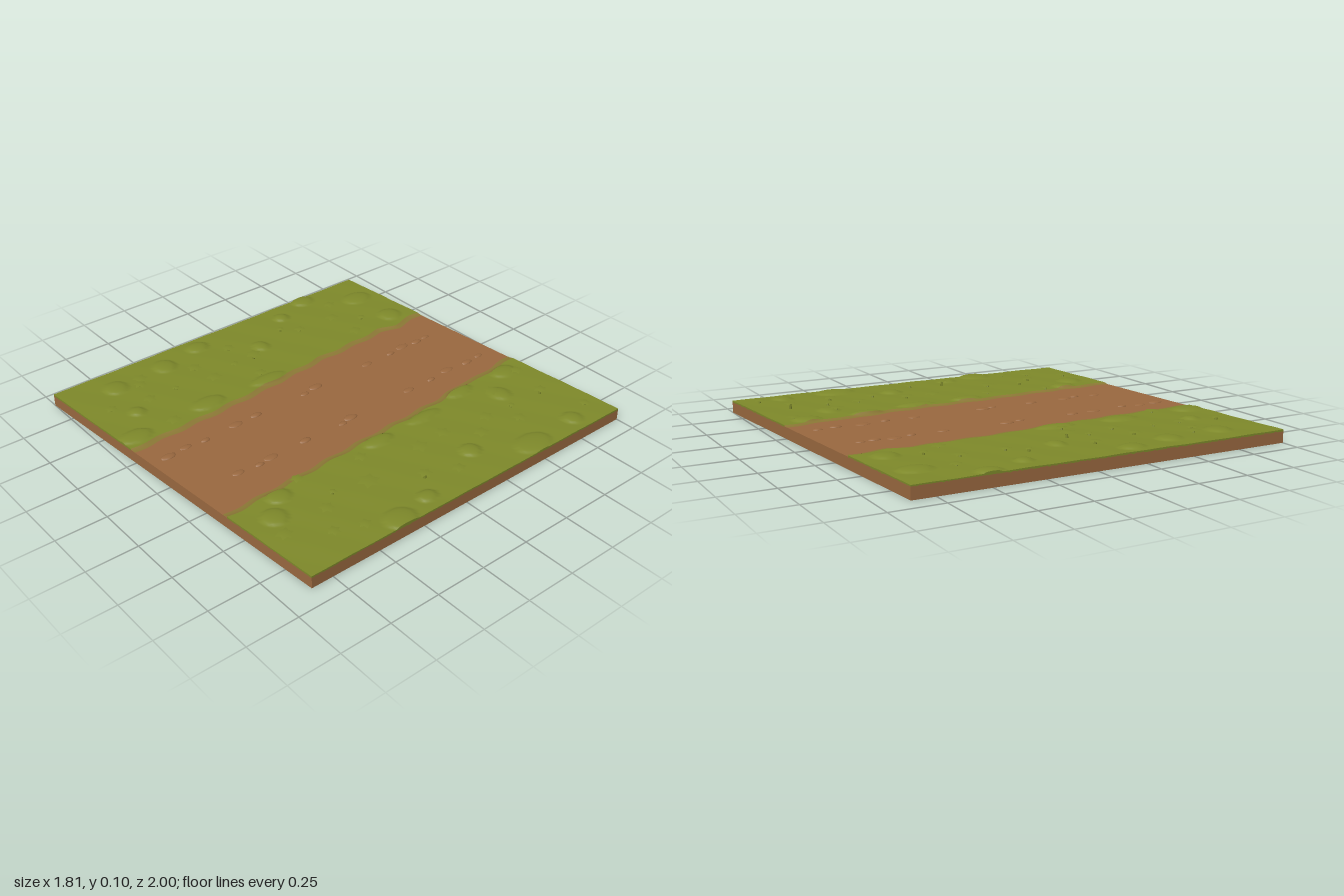
import * as THREE from 'three';

const HALF_X = 0.905, HALF_T = 0.93, SHEAR = 0.0773, SOIL_TOP = 0.056;

const material = (name, color, side = THREE.FrontSide) => {
  const m = new THREE.MeshStandardMaterial({ color, side });
  m.name = name;
  return m;
};

// Grid surface from a rule (u, v) -> [x, y, z]; u runs along +x, v along +z
function gridSurface(rule, nu, nv) {
  const pos = [], idx = [], w = nu + 1;
  for (let j = 0; j <= nv; j++)
    for (let i = 0; i <= nu; i++) pos.push(...rule(i / nu, j / nv));
  for (let j = 0; j < nv; j++)
    for (let i = 0; i < nu; i++) {
      const a = j * w + i, b = a + 1, c = a + w, d = c + 1;
      idx.push(a, c, b, b, c, d);
    }
  const g = new THREE.BufferGeometry();
  g.setAttribute('position', new THREE.Float32BufferAttribute(pos, 3));
  g.setIndex(idx);
  g.computeVertexNormals();
  return g;
}

// Edges of the dirt track as [z, x], sampled linearly
const EDGES = {
  '-1': [[-1, -0.36], [-0.85, -0.35], [-0.72, -0.33], [-0.62, -0.35], [-0.4, -0.335], [-0.2, -0.33], [0, -0.31], [0.2, -0.29], [0.5, -0.27], [1, -0.25]],
  '1': [[-1, 0.23], [-0.85, 0.25], [-0.7, 0.27], [-0.6, 0.265], [-0.4, 0.295], [-0.1, 0.31], [0.2, 0.325], [0.5, 0.345], [1, 0.37]],
};
function edgeX(side, z) {
  const p = EDGES[side];
  let i = 0;
  while (i < p.length - 2 && z > p[i + 1][0]) i++;
  const f = (z - p[i][0]) / (p[i + 1][0] - p[i][0]);
  return THREE.MathUtils.lerp(p[i][1], p[i + 1][1], f) + 0.006 * Math.sin(z * 31 + side);
}

// Low grass mounds: x, z, radius x, radius z
const MOUNDS = {
  '-1': [[-0.71, -0.75, 0.06, 0.08], [-0.46, -0.77, 0.06, 0.06], [-0.87, -0.5, 0.05, 0.06], [-0.8, -0.3, 0.04, 0.04],
    [-0.36, 0.12, 0.04, 0.1], [-0.37, 0.47, 0.05, 0.09], [-0.35, 0.88, 0.055, 0.08], [-0.78, 0.45, 0.06, 0.06],
    [-0.63, -0.04, 0.05, 0.04], [-0.83, 0.22, 0.05, 0.06], [-0.52, 0.77, 0.04, 0.04], [-0.76, 0.74, 0.06, 0.06]],
  '1': [[0.82, -0.77, 0.05, 0.05], [0.84, -0.48, 0.07, 0.1], [0.32, -0.52, 0.04, 0.08], [0.37, -0.24, 0.035, 0.1],
    [0.46, -0.66, 0.06, 0.05], [0.86, 0.35, 0.07, 0.08], [0.38, 0.05, 0.04, 0.08], [0.52, 0.75, 0.06, 0.06],
    [0.42, 0.65, 0.05, 0.06], [0.82, 0.16, 0.04, 0.05], [0.7, -0.22, 0.05, 0.05], [0.33, -0.82, 0.05, 0.07]],
};
function grassHeight(side, x, z) {
  let h = 0.062 + 0.0012 * Math.sin(x * 23 + z * 9) * Math.cos(z * 19 - x * 7);
  for (const [mx, mz, rx, rz] of MOUNDS[side]) {
    const d = 1 - ((x - mx) / rx) ** 2 - ((z - mz) / rz) ** 2;
    if (d > 0) h = Math.max(h, 0.062 + 0.012 * Math.sqrt(d));
  }
  return h;
}

// Star plants: x, z, radius
const PLANTS = [
  [-0.74, -0.58, 0.034], [-0.62, -0.5, 0.04], [-0.52, -0.62, 0.025], [-0.44, -0.51, 0.04], [-0.63, -0.29, 0.032],
  [-0.69, -0.21, 0.02], [-0.56, 0.06, 0.042], [-0.42, 0.12, 0.032], [-0.71, 0.11, 0.035], [-0.57, 0.17, 0.024],
  [-0.53, 0.32, 0.042], [-0.66, 0.35, 0.038], [-0.57, 0.52, 0.02], [-0.75, 0.61, 0.04], [-0.7, 0.64, 0.035],
  [-0.57, 0.67, 0.036], [-0.34, 0.68, 0.04], [-0.6, 0.86, 0.032]];
const PLANTS_RIGHT = [
  [0.37, -0.87, 0.036], [0.58, -0.81, 0.034], [0.78, -0.9, 0.03], [0.43, -0.63, 0.042], [0.57, -0.62, 0.02],
  [0.67, -0.57, 0.037], [0.56, -0.46, 0.04], [0.64, -0.35, 0.042], [0.53, -0.21, 0.04], [0.54, -0.06, 0.048],
  [0.77, -0.08, 0.036], [0.72, 0.08, 0.036], [0.43, 0.2, 0.036], [0.59, 0.29, 0.055], [0.55, 0.46, 0.02],
  [0.8, 0.49, 0.034], [0.38, 0.52, 0.032], [0.62, 0.55, 0.038], [0.75, 0.62, 0.034], [0.64, 0.79, 0.042]];
const TALL = ['-0.56,0.06', '0.72,0.08', '0.58,-0.81'];

// Six-pointed leaf rosette, raised in the middle with drooping tips
function rosetteGeometry() {
  const pos = [0, 0.006, 0], idx = [];
  for (let i = 0; i < 12; i++) {
    const a = i * Math.PI / 6, r = i % 2 ? 0.62 : 1;
    pos.push(r * Math.sin(a), i % 2 ? 0.003 : 0, r * Math.cos(a));
    idx.push(0, i + 1, (i + 1) % 12 + 1);
  }
  const g = new THREE.BufferGeometry();
  g.setAttribute('position', new THREE.Float32BufferAttribute(pos, 3));
  g.setIndex(idx);
  g.computeVertexNormals();
  return g;
}

export function createModel() {
  const model = new THREE.Group();
  const soil = material('soil brown', 0x99683f);
  const verge = material('worn grass', 0x8b7835, THREE.DoubleSide);
  const grass = material('grass green', 0x7e892a, THREE.DoubleSide);
  const add = (name, geo, mat, parent = model) => {
    const m = new THREE.Mesh(geo, mat);
    m.name = name;
    parent.add(m);
    return m;
  };

  // Skewed soil slab whose bare top is the track
  const slab = new THREE.BoxGeometry(2 * HALF_X, SOIL_TOP, 2 * HALF_T);
  slab.translate(0, SOIL_TOP / 2, 0);
  const p = slab.attributes.position;
  for (let i = 0; i < p.count; i++) p.setZ(i, p.getZ(i) - SHEAR * p.getX(i));
  slab.computeVertexNormals();
  add('soilSlab', slab, soil);

  for (const side of [-1, 1]) {
    const label = side > 0 ? 'left' : 'right';
    // Maps a strip between two distances from the track edge onto the slab
    const place = (u, v, from, to) => {
      const t = THREE.MathUtils.lerp(-HALF_T, HALF_T, v);
      const e = edgeX(side, t - SHEAR * side * 0.3);
      const a = e + side * from, b = to === null ? side * HALF_X : e + side * to;
      const x = side > 0 ? THREE.MathUtils.lerp(a, b, u) : THREE.MathUtils.lerp(b, a, u);
      return [x, t - SHEAR * x, Math.abs(x - e)];
    };
    // Worn verge rising from the track to the grass
    add(label + 'Verge', gridSurface((u, v) => {
      const [x, z, d] = place(u, v, 0, 0.03);
      const f = d / 0.03;
      return [x, THREE.MathUtils.lerp(SOIL_TOP + 0.0005, grassHeight(side, x, z), f * f), z];
    }, 4, 120), verge);
    // Grass sheet with mounds
    const field = (u, v) => {
      const [x, z] = place(u, v, 0.03, null);
      return [x, grassHeight(side, x, z), z];
    };
    add(label + 'Grass', gridSurface(field, 60, 170), grass);
    // Turf rims closing the sheet down to the soil
    const drop = ([x, y, z], s) => [x, THREE.MathUtils.lerp(y, SOIL_TOP - 0.003, s), z];
    add(label + 'OuterRim', gridSurface((s, v) => drop(field(side > 0 ? 1 : 0, v), side > 0 ? s : 1 - s), 1, 170), grass);
    add(label + 'FrontRim', gridSurface((u, s) => drop(field(u, 1), s), 60, 1), grass);
    add(label + 'BackRim', gridSurface((u, s) => drop(field(u, 0), 1 - s), 60, 1), grass);
  }

  // Star plants on short stems
  const rosette = rosetteGeometry();
  const stem = new THREE.CylinderGeometry(0.005, 0.007, 1, 6);
  [...PLANTS, ...PLANTS_RIGHT].forEach(([x, z, r], i) => {
    const ground = grassHeight(Math.sign(x), x, z);
    const lift = TALL.includes(x + ',' + z) ? 0.026 : 0.008 + 0.002 * (i % 3);
    const plant = new THREE.Group();
    plant.name = 'starPlant';
    plant.position.set(x, ground, z);
    plant.rotation.y = i * 0.7;
    const leaves = add('leaves', rosette, grass, plant);
    leaves.position.y = lift;
    leaves.scale.set(r, 1, r);
    const stalk = add('stem', stem, grass, plant);
    stalk.position.y = lift / 2;
    stalk.scale.y = lift;
    model.add(plant);
  });

  // Flattened clods along the two wheel ruts
  const clod = new THREE.SphereGeometry(1, 10, 6, 0, Math.PI * 2, 0, Math.PI / 2);
  const ruts = [
    [-0.155, [-0.76, -0.69, -0.6, -0.51, -0.35, -0.02, 0.06, 0.35, 0.47, 0.65, 0.75, 0.85]],
    [0.155, [-0.84, -0.75, -0.62, -0.5, -0.35, 0.02, 0.08, 0.3, 0.5, 0.57, 0.68]]];
  for (const [x, rows] of ruts)
    rows.forEach((z, i) => {
      const m = add('rutClod', clod, soil);
      m.position.set(x + 0.025 * z + 0.008 * Math.sin(i * 2.3), SOIL_TOP - 0.001, z);
      m.scale.set(0.014 + 0.004 * (i % 3), 0.007 + 0.002 * (i % 2), 0.025 + 0.007 * (i % 3));
    });
  return model;
}
